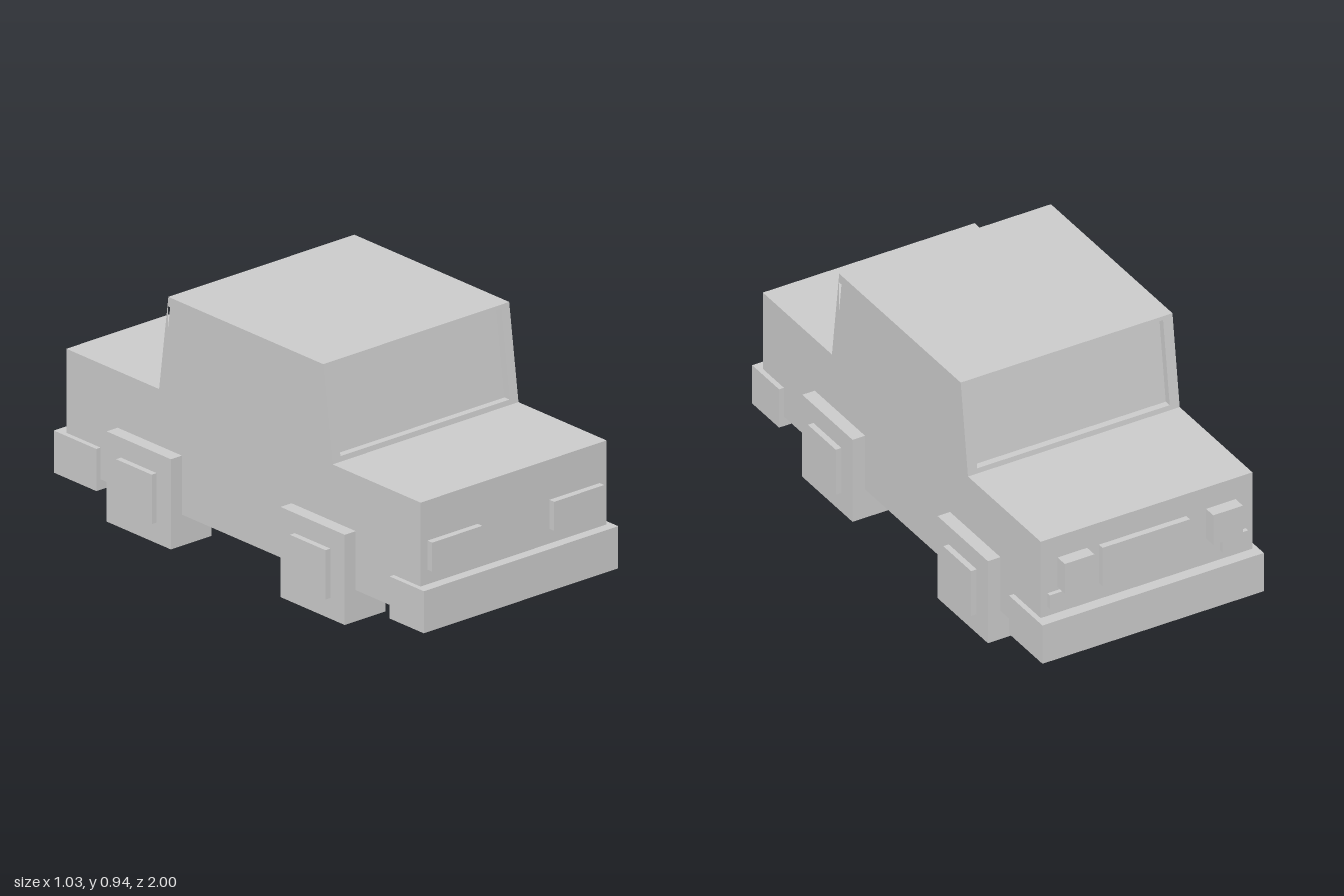
import * as THREE from 'three';

const material = new THREE.MeshStandardMaterial({ color: 0xcccccc, flatShading: true });

export function createModel() {
  const car = new THREE.Group();
  car.name = 'car';

  const add = (name, geometry) => {
    const mesh = new THREE.Mesh(geometry, material);
    mesh.name = name;
    car.add(mesh);
    return mesh;
  };

  // Box given by its limits on each axis
  const block = (name, [x0, x1], [y0, y1], [z0, z1]) => {
    const mesh = add(name, new THREE.BoxGeometry(x1 - x0, y1 - y0, z1 - z0));
    mesh.position.set((x0 + x1) / 2, (y0 + y1) / 2, (z0 + z1) / 2);
  };

  // Side profile (z, y points) extruded across x from x0 to x1
  const crossExtrude = (name, points, x0, x1, holes = []) => {
    const toShape = (pts) => new THREE.Shape(pts.map(([z, y]) => new THREE.Vector2(-z, y)));
    const shape = toShape(points);
    shape.holes = holes.map(toShape);
    const geometry = new THREE.ExtrudeGeometry(shape, { depth: x1 - x0, bevelEnabled: false });
    geometry.rotateY(Math.PI / 2);
    geometry.translate(x0, 0, 0);
    add(name, geometry);
  };

  // Cabin outline between two heights; the ends lean inwards
  const cabinProfile = (y0, y1, inset = 0) => {
    const lean = (y) => (0.05 * (y - 0.565)) / 0.37;
    const front = (y) => 0.485 - lean(y) - inset;
    const back = (y) => -0.45 + lean(y) + inset;
    return [[front(y0), y0], [front(y1), y1], [back(y1), y1], [back(y0), y0]];
  };

  // Body
  block('body', [-0.44, 0.44], [0.12, 0.565], [-0.95, 0.96]);

  // Cabin: recessed glass core, sill and roof, pillars, then pierced side panels
  crossExtrude('windscreenGlass', cabinProfile(0.565, 0.93, 0.027), -0.41, 0.41);
  crossExtrude('windowSill', cabinProfile(0.565, 0.585), -0.4, 0.4);
  crossExtrude('roof', cabinProfile(0.92, 0.935), -0.4, 0.4);
  const windowHole = (z0, z1) => [[z0, 0.6], [z1, 0.6], [z1, 0.898], [z0, 0.898]];
  const windows = [windowHole(0.135, 0.437), windowHole(-0.402, -0.02)];
  for (const side of [-1, 1]) {
    const span = (a, b) => (side > 0 ? [a, b] : [-b, -a]);
    crossExtrude('sideGlass', cabinProfile(0.565, 0.935), ...span(0.4, 0.426));
    crossExtrude('sideWindowFrame', cabinProfile(0.565, 0.935), ...span(0.426, 0.44), windows);

    // Square wheels and hubs
    for (const z of [side > 0 ? 0.43 : 0.437, -0.5]) {
      block('wheel', span(0.3, 0.492), [0, 0.347], [z - 0.173, z + 0.173]);
      block('hub', span(0.48, 0.515), [0.08, 0.27], [z - 0.096, z + 0.096]);
    }

    // Lights
    block('headlight', span(0.17, 0.407), [0.298, 0.41], [0.94, 0.985]);
    block('tailLight', span(0.247, 0.37), [0.35, 0.475], [-1, -0.94]);
    block('rearReflector', span(0.305, 0.412), [0.28, 0.338], [-0.967, -0.94]);
  }

  // Bumpers and rear panel
  block('frontBumper', [-0.46, 0.46], [0.08, 0.242], [0.815, 1]);
  block('rearBumper', [-0.46, 0.46], [0.08, 0.242], [-0.995, -0.765]);
  block('rearPlate', [-0.165, 0.198], [0.31, 0.472], [-0.975, -0.94]);

  return car;
}
